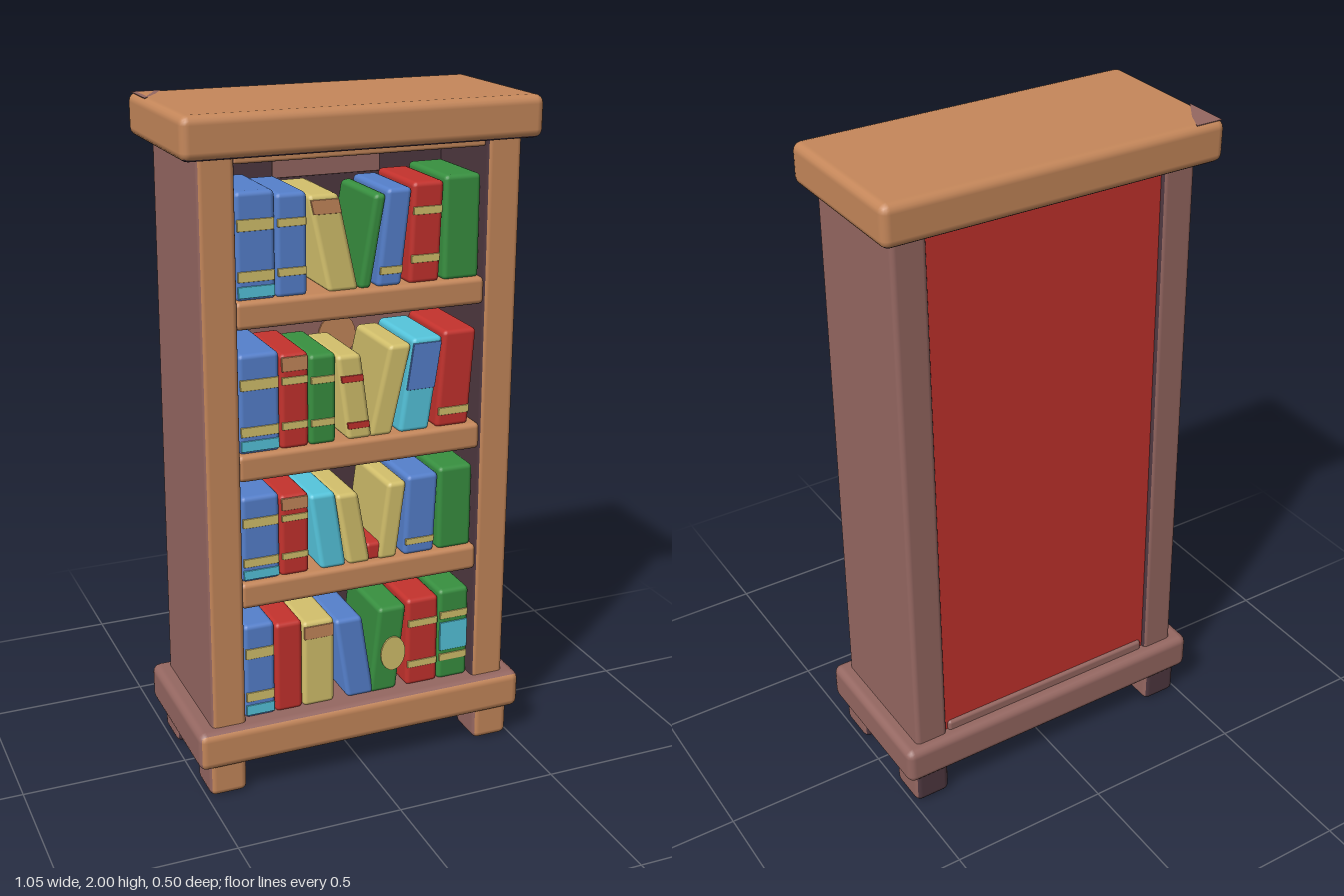
import * as THREE from 'three';
import { RoundedBoxGeometry } from 'three/addons/geometries/RoundedBoxGeometry.js';

const mat = (name, color) => {
  const m = new THREE.MeshStandardMaterial({ color });
  m.name = name;
  return m;
};

export function createModel() {
  const tan = mat('tan wood', 0xc5875a), mauve = mat('mauve wood', 0x956761);
  const dark = mat('dark wood', 0x4f3840), red = mat('red', 0xc4322d);
  const blue = mat('blue', 0x5580cc), green = mat('green', 0x389040);
  const yellow = mat('yellow', 0xd3c06c), cyan = mat('cyan', 0x55c5dc);
  const model = new THREE.Group();
  model.name = 'bookcase';

  // Rounded box given by its extents; warp(position) may move vertices
  function box(name, [x0, x1], [y0, y1], [z0, z1], material, r = 0.015, warp, parent = model) {
    const g = new RoundedBoxGeometry(x1 - x0, y1 - y0, z1 - z0, 2, r);
    g.translate((x0 + x1) / 2, (y0 + y1) / 2, (z0 + z1) / 2);
    if (warp) {
      const p = g.attributes.position, v = new THREE.Vector3();
      for (let i = 0; i < p.count; i++) {
        warp(v.fromBufferAttribute(p, i));
        p.setXYZ(i, v.x, v.y, v.z);
      }
    }
    const m = new THREE.Mesh(g, material);
    m.name = name;
    parent.add(m);
  }

  // Face order: +x, -x, +y, -y, +z, -z
  box('topSlab', [-0.525, 0.525], [1.88, 2], [-0.25, 0.25], [tan, tan, tan, dark, tan, tan], 0.025);
  box('baseSlab', [-0.525, 0.52], [0.1, 0.22], [-0.25, 0.25], [mauve, mauve, mauve, tan, tan, mauve], 0.025);

  // Worn corner patch on the top
  const patch = new THREE.Shape([[-0.515, 0.24], [-0.515, 0.1], [-0.46, 0.18], [-0.43, 0.24]]
    .map(([x, y]) => new THREE.Vector2(x, y)));
  const wear = new THREE.Mesh(new THREE.ExtrudeGeometry(patch, { depth: 0.002, bevelEnabled: false }), mauve);
  wear.rotation.x = -Math.PI / 2;
  wear.position.y = 1.998;
  wear.name = 'wornCorner';
  model.add(wear);

  // Feet and side panels; the side panels get deeper towards the floor
  const taper = v => { if (v.z < 0) v.z -= 0.03 * (1.9 - v.y) / 1.7; };
  for (const s of [-1, 1]) {
    const span = (a, b) => s > 0 ? [a, b] : [-b, -a];
    box('sidePanel', span(0.37, 0.475), [0.2, 1.9], [-0.19, 0.215],
      s > 0 ? [mauve, dark, mauve, mauve, tan, mauve] : [dark, mauve, mauve, mauve, tan, mauve], 0.015, taper);
    box('frontFoot', span(0.375, 0.49), [0, 0.12], [0.1, 0.23], [mauve, mauve, dark, dark, tan, dark], 0.02);
    box('backFoot', span(0.375, 0.49), [0, 0.12], [-0.235, -0.105], [mauve, mauve, dark, dark, dark, dark], 0.02);
  }

  // Back: red outside, dark inside
  box('backPanel', [-0.375, 0.375], [0.2, 1.89], [-0.175, -0.08], [dark, dark, dark, dark, dark, red], 0.003, taper);
  box('backRail', [-0.36, 0.36], [0.2, 0.25], [-0.215, -0.17], mauve, 0.01);
  box('headRail', [-0.37, 0.37], [1.86, 1.89], [-0.15, 0.2], [dark, dark, dark, dark, tan, dark], 0.008);
  box('middleBacking', [-0.37, 0.37], [1.22, 1.41], [-0.082, -0.075], mauve, 0.002);
  box('topBacking', [-0.16, 0.17], [1.76, 1.85], [-0.082, -0.075], mauve, 0.002);
  for (const y of [0.58, 0.97, 1.41])
    box('shelf', [-0.375, 0.375], [y, y + 0.08], [-0.1, 0.208], [tan, tan, tan, dark, tan, dark]);

  // Flat round details
  function disc(name, x, y, z, r, stretch, material) {
    const m = new THREE.Mesh(new THREE.CylinderGeometry(r, r, 0.006, 20), material);
    m.rotation.x = Math.PI / 2;
    m.scale.z = stretch;
    m.position.set(x, y, z);
    m.name = name;
    model.add(m);
  }
  disc('backRoundel', 0.035, 1.28, -0.073, 0.06, 1.1, tan);
  disc('coverEmblem', 0.11, 0.34, 0.192, 0.04, 1.4, yellow);

  // Spine decorations: [from, to, colour] as fractions of the book's height
  const pair = [[0.2, 0.28, yellow], [0.68, 0.76, yellow]];
  const ringed = [[0.02, 0.13, cyan], [0.17, 0.27, yellow], [0.64, 0.75, yellow]];
  const capped = [...pair, [0.82, 0.97, tan]];
  const cap = [[0.8, 0.95, tan]];
  const trim = [[0.12, 0.2, red], [0.68, 0.76, red]];
  const label = [...pair, [0.32, 0.64, cyan]];
  const jacket = [[0.45, 0.95, blue]];
  const foot = [[0.12, 0.2, yellow]];

  function addBook(x, width, lean, floor, height, colour, bands) {
    const book = new THREE.Group();
    book.name = 'book';
    model.add(book);
    const shear = v => { v.x += lean * (v.y - floor) / height; };
    box('cover', [x, x + width], [floor - 0.005, floor + height], [-0.06, 0.19], colour, 0.014, shear, book);
    for (const [from, to, paint] of bands)
      box('band', [x + 0.004, x + width - 0.004], [floor + from * height, floor + to * height],
        [0.185, 0.193], paint, 0.002, shear, book);
  }

  // Each shelf is packed inwards from both ends; a leaning book rests on its neighbour.
  // Books: [width, inward-to-outward lean, colour, decoration]
  function fillShelf(floor, height, leftBooks, rightBooks) {
    for (const [side, books] of [[-1, leftBooks], [1, rightBooks]]) {
      let edge = 0.364, lastLean = 0;
      books.forEach(([width, lean, colour, bands = []], i) => {
        edge -= lean - lastLean;
        lastLean = lean;
        const x = side > 0 ? edge - width : -edge;
        addBook(x, width, side * lean, floor, height - 0.012 * i, colour, bands);
        edge -= width + 0.002;
      });
    }
  }
  fillShelf(1.49, 0.295,
    [[0.113, 0, blue, ringed], [0.09, 0, blue, pair], [0.09, 0.06, yellow, cap]],
    [[0.112, 0, green], [0.095, 0.01, red, pair], [0.075, 0.03, blue, foot], [0.036, 0.045, green]]);
  fillShelf(1.05, 0.287,
    [[0.12, 0, blue, ringed], [0.085, 0, red, capped], [0.08, 0, green, pair], [0.075, 0.035, yellow, trim]],
    [[0.105, 0.02, red, foot], [0.095, 0.04, cyan, jacket], [0.07, 0.06, yellow]]);
  fillShelf(0.66, 0.258,
    [[0.115, 0, blue, ringed], [0.088, 0, red, capped], [0.08, 0.035, cyan], [0.07, 0.04, yellow]],
    [[0.11, 0, green], [0.1, 0.01, blue, foot], [0.06, 0.03, yellow]]);
  fillShelf(0.22, 0.297,
    [[0.095, 0, blue, ringed], [0.085, 0, red], [0.1, 0, yellow, cap], [0.088, 0.04, blue]],
    [[0.1, 0, green, label], [0.105, 0, red, pair], [0.09, 0.03, green]]);
  box('smallRedBook', [0.025, 0.085], [0.655, 0.71], [0.02, 0.18], red, 0.012);
  return model;
}
